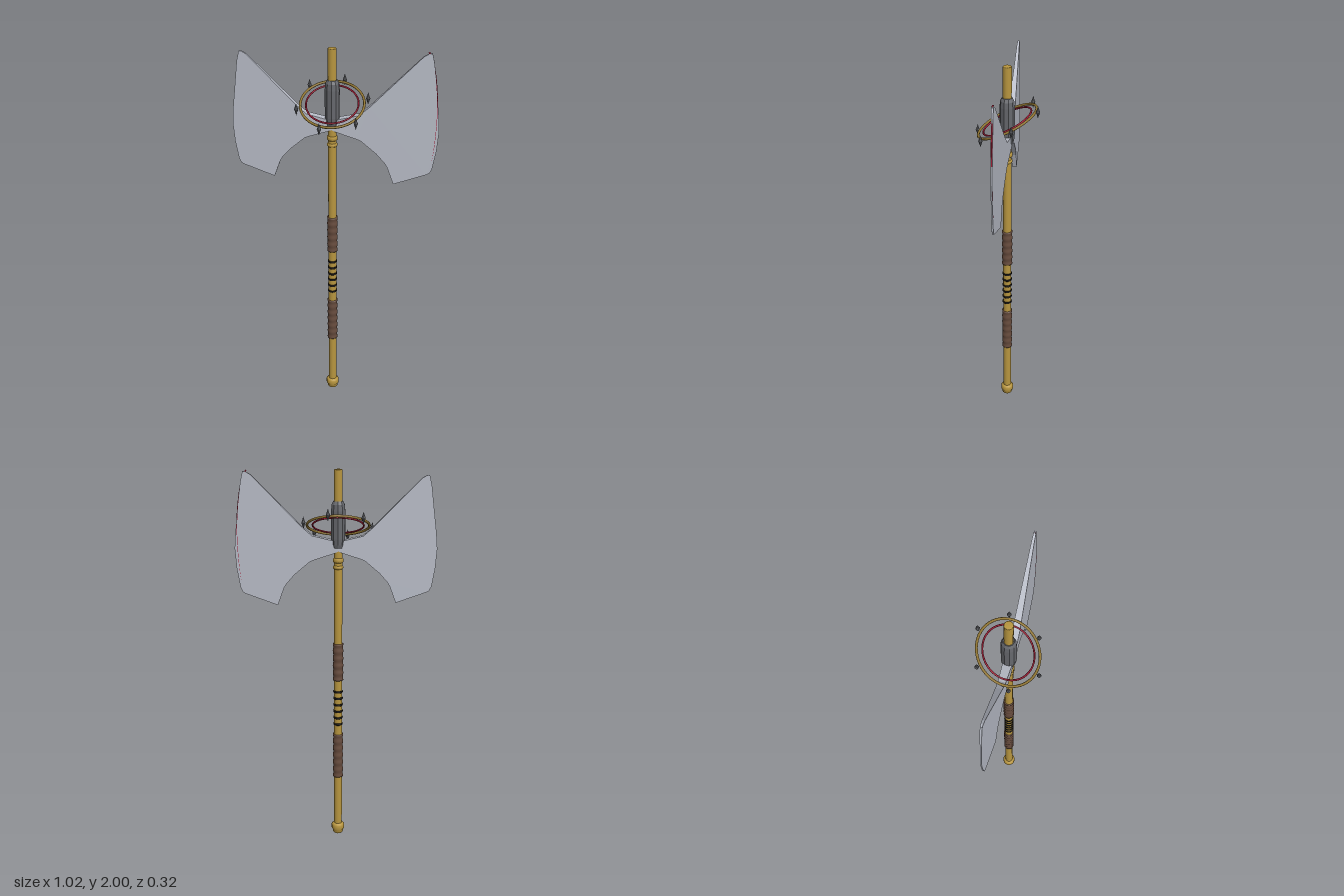
import * as THREE from 'three';

const mat = (color) => new THREE.MeshStandardMaterial({ color });
const gold = mat(0xb8963f), darkGold = mat(0x8f7432), steel = mat(0xb9bdc8), iron = mat(0x66686d);
const leather = mat(0x654a3c), black = mat(0x16130f), red = mat(0xa01a34);
steel.flatShading = true;
iron.flatShading = true;
steel.side = THREE.DoubleSide;

const AXIS = -0.015; // the shaft stands slightly off centre

function add(parent, name, geometry, material, x = 0, y = 0, z = 0) {
  const mesh = new THREE.Mesh(geometry, material);
  mesh.name = name;
  mesh.position.set(x, y, z);
  parent.add(mesh);
  return mesh;
}

const lathe = (points, sides = 16) =>
  new THREE.LatheGeometry(points.map(([r, y]) => new THREE.Vector2(r, y)), sides);

// Solid turned band with small chamfers
const band = (r, y0, y1, c, sides = 16) =>
  lathe([[0, y0], [r - c, y0], [r, y0 + c], [r, y1 - c], [r - c, y1], [0, y1]], sides);

// Outline of one blade, heights relative to 1.65
const OUTLINE = [
  [0, 0.0], [0.03, 0.003], [0.125, 0.025], [0.175, 0.068], [0.41, 0.308], [0.434, 0.322], [0.447, 0.323],
  [0.459, 0.275], [0.474, 0.16], [0.49, 0.04], [0.497, -0.04], [0.49, -0.14], [0.475, -0.23], [0.464, -0.254],
  [0.45, -0.262], [0.294, -0.317], [0.262, -0.23], [0.25, -0.21], [0.21, -0.164], [0.135, -0.1],
  [0.11, -0.09], [0.02, -0.06], [0, -0.05],
];

// Flat-sided wedge: thick at the shaft, thin at the cutting edge
function bladeGeometry(side, size) {
  const shape = new THREE.Shape(OUTLINE.map(([x, y]) => new THREE.Vector2(x * side * size, y * size)));
  const geo = new THREE.ExtrudeGeometry(shape, { depth: 1, bevelEnabled: false });
  const p = geo.attributes.position;
  for (let i = 0; i < p.count; i++) {
    const half = 0.023 - 0.02 * Math.min(1, Math.abs(p.getX(i)) / (0.497 * size));
    p.setZ(i, p.getZ(i) > 0.5 ? half : -half);
  }
  geo.computeVertexNormals();
  return geo;
}

// Leather wrap with shallow ridges
function gripGeometry(y0, y1, ridges) {
  const points = [[0.02, y0]];
  const n = ridges * 6;
  for (let i = 0; i <= n; i++) {
    points.push([0.0265 + 0.0015 * Math.cos((i / 6) * Math.PI * 2), y0 + ((y1 - y0) * i) / n]);
  }
  points.push([0.02, y1]);
  return lathe(points);
}

export function createModel() {
  const root = new THREE.Group();
  root.name = 'doubleAxe';
  const axe = new THREE.Group();
  axe.name = 'axe';
  axe.position.x = AXIS;
  root.add(axe);

  // Shaft, pommel and neck rings
  add(axe, 'shaft', band(0.0215, 0.02, 2, 0.003), gold);
  add(axe, 'pommel', lathe([[0, 0], [0.022, 0], [0.028, 0.006], [0.029, 0.022], [0.035, 0.028],
    [0.035, 0.05], [0.029, 0.057], [0.022, 0.062], [0, 0.062]]), gold);
  add(axe, 'upperNeckRing', band(0.027, 1.538, 1.562, 0.005), gold);
  add(axe, 'lowerNeckRing', band(0.026, 1.505, 1.524, 0.005), gold);

  // Leather grips with black bands between them
  add(axe, 'lowerGrip', gripGeometry(0.35, 0.6, 6), leather);
  add(axe, 'upperGrip', gripGeometry(0.91, 1.11, 5), leather);
  for (let i = 0; i < 6; i++) {
    add(axe, 'gripBand', band(0.0255, -0.006, 0.006, 0.003), black, 0, 0.66 + i * 0.037);
  }

  // Head collar
  add(axe, 'collar', lathe([[0, 1.612], [0.029, 1.612], [0.034, 1.63], [0.037, 1.66], [0.037, 1.8],
    [0.034, 1.83], [0.026, 1.846], [0, 1.846]], 10), iron);

  // Blades, the left one slightly larger
  add(axe, 'rightBlade', bladeGeometry(-1, 1), steel, 0, 1.65);
  add(axe, 'leftBlade', bladeGeometry(1, 1.05), steel, 0, 1.65);

  // Red line along the edge of the left blade
  const edge = new THREE.CatmullRomCurve3([[0.452, 1.994], [0.466, 1.975], [0.49, 1.87], [0.506, 1.72],
    [0.506, 1.6], [0.498, 1.48], [0.485, 1.39]].map(([x, y]) => new THREE.Vector3(x, y, 0)));
  add(axe, 'edgeLine', new THREE.TubeGeometry(edge, 32, 0.0042, 6), red);

  // Tilted halo of two rings
  const tilt = THREE.MathUtils.degToRad(26);
  const halo = new THREE.Group();
  halo.name = 'halo';
  halo.position.y = 1.725;
  halo.rotation.x = tilt;
  axe.add(halo);
  const ring = (r, tube) => new THREE.TorusGeometry(r, tube, 8, 48).rotateX(Math.PI / 2);
  add(halo, 'outerRing', ring(0.156, 0.0065), darkGold);
  add(halo, 'innerRing', ring(0.128, 0.0045), red);

  // Upright diamond spikes around the halo
  for (let i = 0; i < 6; i++) {
    const a = THREE.MathUtils.degToRad(-15 + i * 60);
    const z = 0.175 * Math.sin(a);
    const spike = lathe([[0, -0.031], [0.006, -0.012], [0.0105, 0], [0.006, 0.012], [0, 0.031]], 8);
    add(axe, 'haloSpike', spike, iron, 0.177 * Math.cos(a), 1.725 - z * Math.sin(tilt), z * Math.cos(tilt));
  }
  return root;
}
